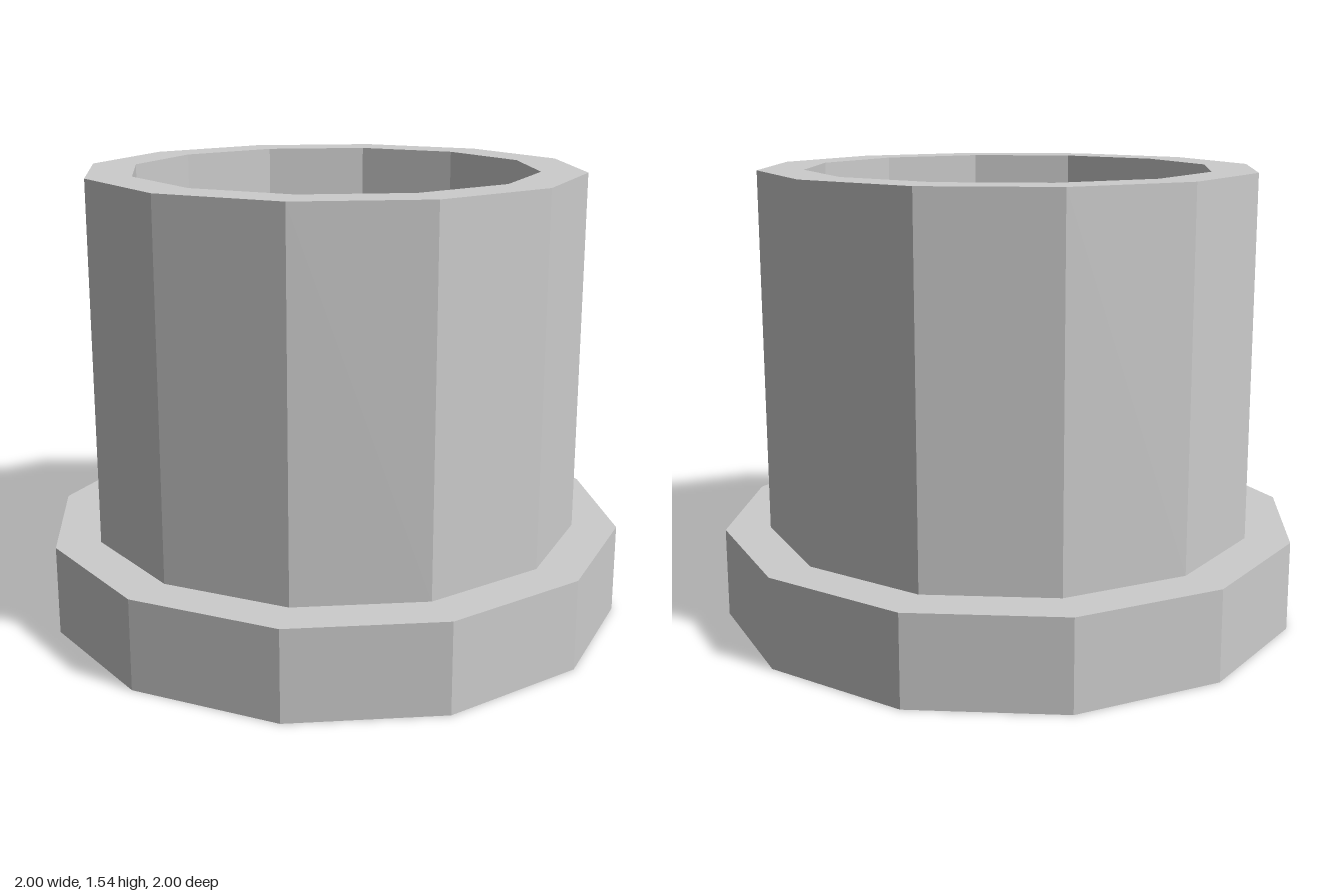
import * as THREE from 'three';

const SIDES = 12;
const U = 2 / 13; // wall thickness, the module of all sizes

// Faceted surface of revolution; the profile runs bottom to top on the outside
function turned(name, profile, material) {
  const points = profile.map(([r, y]) => new THREE.Vector2(r * U, y * U));
  const geometry = new THREE.LatheGeometry(points, SIDES).toNonIndexed();
  geometry.computeVertexNormals();
  const mesh = new THREE.Mesh(geometry, material);
  mesh.name = name;
  return mesh;
}

export function createModel() {
  const group = new THREE.Group();
  group.name = 'flangedCup';
  const grey = new THREE.MeshStandardMaterial({ color: 0xcccccc });
  grey.name = 'light grey';

  // Solid base disc, whose top is also the floor of the cup
  group.add(turned('baseFlange', [[0, 0], [6.5, 0], [6.5, 2], [0, 2]], grey));

  // Hollow tube: outer wall, rim and inner wall
  group.add(turned('tubeWall', [[5.5, 2], [5.5, 10], [4.5, 10], [4.5, 2]], grey));

  return group;
}
